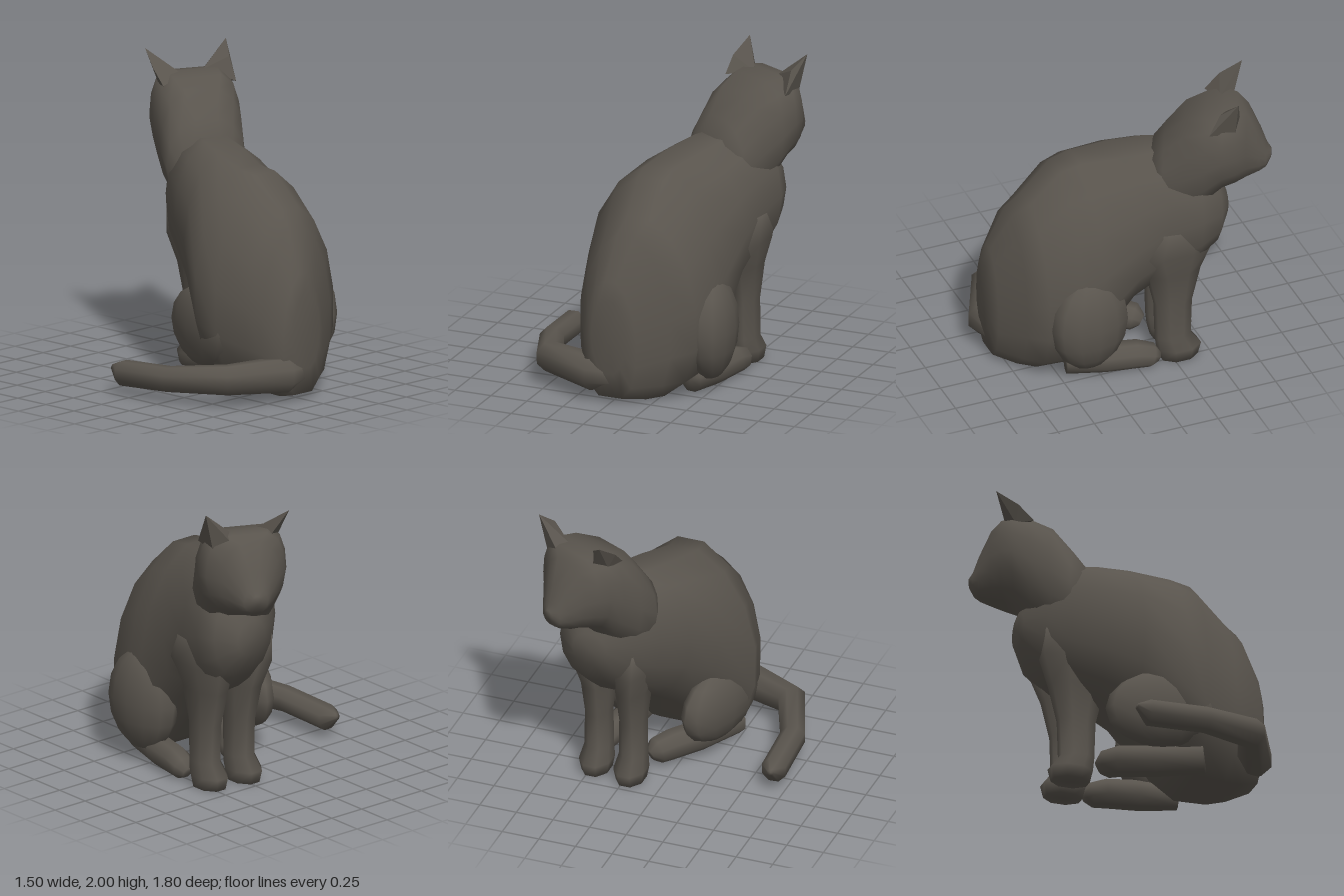
import * as THREE from 'three';
import { ConvexGeometry } from 'three/addons/geometries/ConvexGeometry.js';

const V = (x, y, z) => new THREE.Vector3(x, y, z);
const fur = new THREE.MeshStandardMaterial({ color: 0x59544d });
fur.name = 'darkFur';

// Skin a list of equal-sized point rings, closing both ends, facing outward
function loft(rings) {
  const n = rings[0].length, pos = [], idx = [];
  rings.forEach(r => r.forEach(p => pos.push(p.x, p.y, p.z)));
  for (let i = 0; i < rings.length - 1; i++) {
    for (let j = 0; j < n; j++) {
      const a = i * n + j, b = i * n + (j + 1) % n;
      idx.push(a, b, a + n, b, b + n, a + n);
    }
  }
  [0, rings.length - 1].forEach((i, end) => {
    const c = V(0, 0, 0);
    rings[i].forEach(p => c.addScaledVector(p, 1 / n));
    const ci = pos.length / 3;
    pos.push(c.x, c.y, c.z);
    for (let j = 0; j < n; j++) {
      const a = i * n + j, b = i * n + (j + 1) % n;
      end ? idx.push(a, b, ci) : idx.push(b, a, ci);
    }
  });
  // Signed volume tells whether the winding must be reversed
  const at = i => V(pos[3 * i], pos[3 * i + 1], pos[3 * i + 2]);
  let volume = 0;
  for (let i = 0; i < idx.length; i += 3) {
    volume += at(idx[i]).dot(at(idx[i + 1]).cross(at(idx[i + 2])));
  }
  if (volume < 0) idx.reverse();
  const g = new THREE.BufferGeometry();
  g.setAttribute('position', new THREE.Float32BufferAttribute(pos, 3));
  g.setIndex(idx);
  g.computeVertexNormals();
  return g;
}

// Upright egg-shaped slice: [z, x0, x1, y0, y1, taper, lower and upper roundness]
function slice([z, x0, x1, y0, y1, taper = 0, low = 0.85, high = 0.85], n = 14) {
  return Array.from({ length: n }, (_, i) => {
    const a = i / n * Math.PI * 2, c = Math.cos(a), s = Math.sin(a);
    const w = Math.sign(c) * Math.abs(c) ** (s < 0 ? low : high) * (1 - taper * s);
    return V((x0 + x1) / 2 + (x1 - x0) / 2 * w, (y0 + y1) / 2 + (y1 - y0) / 2 * s, z);
  });
}

// Level slice: [x, y, z, rx, rz]
const level = ([x, y, z, rx, rz], n = 8) => Array.from({ length: n }, (_, i) => {
  const a = (i + 0.5) / n * Math.PI * 2;
  return V(x + rx * Math.cos(a), y, z + rz * Math.sin(a));
});

// Rings at right angles to a path: [x, y, z, radius]
function limb(path, n = 8) {
  const pts = path.map(p => V(p[0], p[1], p[2]));
  return loft(path.map((p, i) => {
    const t = pts[Math.min(i + 1, pts.length - 1)].clone().sub(pts[Math.max(i - 1, 0)]).normalize();
    const side = t.clone().cross(V(0, 1, 0)).normalize(), up = side.clone().cross(t);
    return Array.from({ length: n }, (_, j) => {
      const a = (j + 0.5) / n * Math.PI * 2;
      const q = pts[i].clone().addScaledVector(side, p[3] * Math.cos(a)).addScaledVector(up, p[3] * Math.sin(a));
      q.y = Math.max(0, q.y);
      return q;
    });
  }));
}

export function createModel() {
  const model = new THREE.Group();
  model.name = 'sittingCat';
  const add = (name, geometry) => {
    const mesh = new THREE.Mesh(geometry, fur);
    mesh.name = name;
    model.add(mesh);
    return mesh;
  };

  // Torso, from rump to chest
  add('body', loft([
    [0.85, -0.12, 0.12, 0.2, 0.7],
    [0.82, -0.18, 0.18, 0.03, 0.83, 0.1, 0.6, 1],
    [0.7, -0.26, 0.37, 0, 1.11, 0.12, 0.6, 1],
    [0.6, -0.3, 0.5, 0, 1.21, 0.12, 0.6, 1],
    [0.39, -0.36, 0.55, 0, 1.41, 0.12, 0.6, 1],
    [0.25, -0.4, 0.57, 0.1, 1.43, 0.12, 0.6, 1],
    [0, -0.25, 0.59, 0.4, 1.48, 0.05],
    [-0.2, -0.13, 0.61, 0.54, 1.51],
    [-0.4, 0, 0.66, 0.66, 1.52],
    [-0.54, 0.14, 0.63, 0.8, 1.4],
    [-0.63, 0.28, 0.51, 0.97, 1.2],
  ].map(r => slice(r))));

  // Neck and head, turned a little to one side
  const head = add('head', loft([
    [0.44, -0.22, 0.2, 1.1, 1.49],
    [0.35, -0.29, 0.25, 1, 1.61],
    [0.22, -0.29, 0.28, 1.02, 1.77, 0, 0.8, 0.6],
    [0.08, -0.28, 0.31, 1.14, 1.83, 0, 0.8, 0.4],
    [-0.03, -0.27, 0.31, 1.26, 1.85, 0, 0.8, 0.35],
    [-0.11, -0.24, 0.28, 1.29, 1.84, 0, 0.8, 0.4],
    [-0.18, -0.19, 0.2, 1.31, 1.8, 0.05, 0.8, 0.7],
    [-0.26, -0.12, 0.12, 1.34, 1.64, 0.1],
    [-0.3, -0.08, 0.08, 1.37, 1.53, 0.1],
    [-0.33, -0.03, 0.03, 1.43, 1.49],
  ].map(r => slice(r))));
  head.position.set(0.43, 0, -0.6);
  head.rotation.y = -0.45;

  // Pointed ears
  add('leftEar', new ConvexGeometry([
    V(0.75, 2, -0.6), V(0.54, 1.83, -0.6), V(0.67, 1.76, -0.43),
    V(0.69, 1.74, -0.6), V(0.6, 1.8, -0.67), V(0.68, 1.91, -0.5),
  ]));
  add('rightEar', new ConvexGeometry([
    V(0.25, 1.98, -0.83), V(0.18, 1.78, -0.6), V(0.38, 1.82, -0.62),
    V(0.33, 1.8, -0.74), V(0.24, 1.77, -0.7), V(0.19, 1.88, -0.7),
  ]));

  // Front legs, paw to shoulder
  [['leftFrontLeg', 0.47, -0.27, 1], ['rightFrontLeg', 0.22, -0.31, -1]].forEach(([name, x, z, out]) => {
    add(name, loft([
      [x, 0, z - 0.03, 0.095, 0.13],
      [x, 0.08, z - 0.03, 0.11, 0.15],
      [x, 0.17, z + 0.01, 0.09, 0.12],
      [x, 0.42, z + 0.01, 0.085, 0.13],
      [x, 0.66, z + 0.01, 0.11, 0.19],
      [x + 0.02 * out, 0.84, z + 0.03, 0.14, 0.28],
      [x + 0.03 * out, 1.02, z, 0.13, 0.24],
    ].map(r => level(r))));
  });

  // Folded thighs
  [['leftThigh', 0.49, 0.42, 0.32, 0.16, 0.34, 0.27, 0.1],
    ['rightThigh', -0.2, 0.4, 0.13, 0.13, 0.26, 0.36, -0.3]].forEach(([name, x, y, z, rx, ry, rz, turn]) => {
    const thigh = add(name, new THREE.SphereGeometry(1, 12, 8));
    thigh.scale.set(rx, ry, rz);
    thigh.position.set(x, y, z);
    thigh.rotation.y = turn;
  });

  // Hind feet
  add('leftHindFoot', limb([
    [0.4, 0.09, 0.45, 0.08], [0.45, 0.09, 0.2, 0.1], [0.49, 0.09, 0, 0.095], [0.51, 0.07, -0.1, 0.08], [0.51, 0.05, -0.14, 0.04],
  ]));
  add('rightHindFoot', limb([
    [-0.2, 0.1, 0.42, 0.1], [-0.06, 0.1, 0.15, 0.1], [0.06, 0.12, -0.06, 0.1], [0.12, 0.11, -0.14, 0.09], [0.15, 0.09, -0.18, 0.04],
  ]));

  // Tail curling forward around the side
  add('tail', limb([
    [0.06, 0.17, 0.74, 0.08], [-0.13, 0.18, 0.78, 0.12], [-0.5, 0.18, 0.63, 0.1],
    [-0.65, 0.15, 0.26, 0.085], [-0.67, 0.13, -0.13, 0.085], [-0.68, 0.16, -0.21, 0.02],
  ]));

  return model;
}
